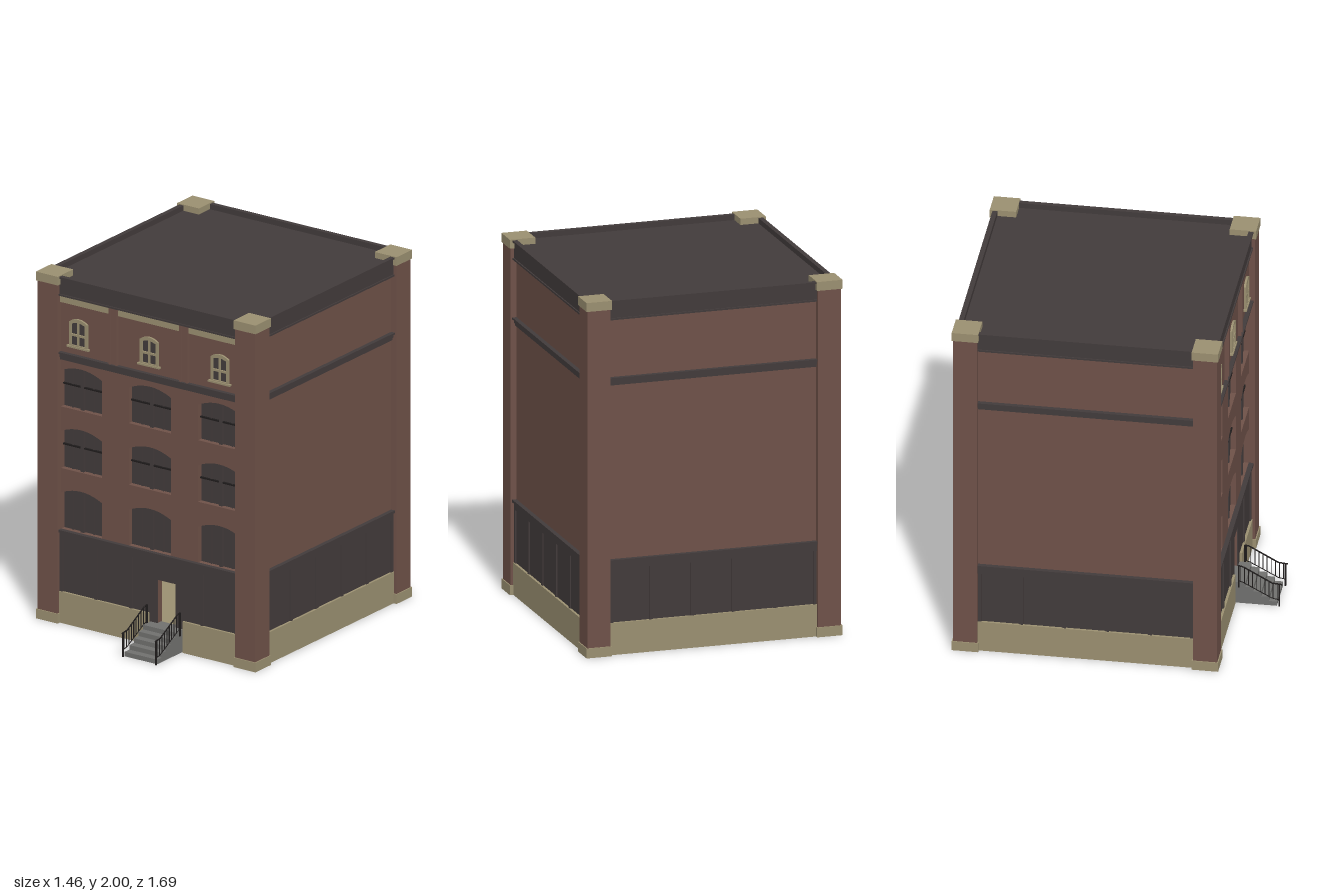
import * as THREE from 'three';

const mat = (name, color, extra = {}) => {
  const m = new THREE.MeshStandardMaterial({ color, ...extra });
  m.name = name;
  return m;
};

export function createModel() {
  const brick = mat('brick', 0x6e5148);
  const dark = mat('dark metal', 0x423b3b);
  const stone = mat('tan stone', 0x9a8f70);
  const black = mat('black iron', 0x1f1c1c);
  const grey = mat('grey concrete', 0x70706e);

  const model = new THREE.Group();
  model.name = 'building';
  const body = new THREE.Group();
  body.name = 'buildingBody';
  body.position.z = -0.12;
  model.add(body);

  const add = (parent, name, geo, material) => {
    const m = new THREE.Mesh(geo, material);
    m.name = name;
    parent.add(m);
    return m;
  };
  // Box given by its lower and upper limits
  const box = (parent, name, material, x0, x1, y0, y1, z0, z1) => {
    const m = add(parent, name, new THREE.BoxGeometry(x1 - x0, y1 - y0, z1 - z0), material);
    m.position.set((x0 + x1) / 2, (y0 + y1) / 2, (z0 + z1) / 2);
    return m;
  };
  const plate = (parent, name, material, shape, z0, z1) => {
    const geo = new THREE.ExtrudeGeometry(shape, { depth: z1 - z0, bevelEnabled: false, curveSegments: 10 });
    const m = add(parent, name, geo, material);
    m.position.z = z0;
    return m;
  };
  const poly = pts => new THREE.Shape(pts.map(p => new THREE.Vector2(...p)));
  const rect = (x0, x1, y0, y1) => poly([[x0, y0], [x1, y0], [x1, y1], [x0, y1]]);
  // Rectangle with a shallow arched head
  const arch = (x0, x1, y0, spring, top) => {
    const s = new THREE.Shape();
    s.moveTo(x0, y0);
    s.lineTo(x1, y0);
    s.lineTo(x1, spring);
    s.quadraticCurveTo((x0 + x1) / 2, 2 * top - spring, x0, spring);
    s.lineTo(x0, y0);
    return s;
  };

  const W = 0.69; // distance from centre to wall face
  const bays = [-0.46, 0, 0.46];
  const rows = [
    { y: 0.535, top: 0.775 },
    { y: 0.885, top: 1.13, bar: 1.02 },
    { y: 1.24, top: 1.48, bar: 1.37 },
  ];
  const bands = [
    [0.48, 0.52, 0.705], [0.52, 0.535, 0.715],
    [1.515, 1.53, 0.70], [1.53, 1.55, 0.705], [1.55, 1.56, 0.715],
    [1.885, 1.895, 0.712], [1.895, 1.985, 0.705], [1.985, 1.995, 0.715],
  ];

  // Four facades, the first one facing forward
  for (let i = 0; i < 4; i++) {
    const side = new THREE.Group();
    side.name = ['frontFacade', 'leftFacade', 'backFacade', 'rightFacade'][i];
    side.rotation.y = i * Math.PI / 2;
    body.add(side);
    const front = i === 0;

    const wall = rect(-0.65, 0.65, 0.01, 1.95);
    if (front) {
      wall.holes.push(rect(0.053, 0.175, 0.125, 0.38));
      for (const r of rows) for (const x of bays)
        wall.holes.push(arch(x - 0.14, x + 0.14, r.y, r.top - 0.035, r.top));
    }
    plate(side, 'wall', brick, wall, 0.65, W);

    for (const [y0, y1, d] of bands) box(side, 'moulding', dark, -0.6, 0.6, y0, y1, W - 0.002, d);

    // Ground floor panels and stone plinth
    if (front) {
      plate(side, 'groundPanel', dark, poly([[-0.6, 0.18], [0, 0.18], [0, 0.125], [0.053, 0.125],
        [0.053, 0.38], [0.175, 0.38], [0.175, 0.125], [0.23, 0.125], [0.23, 0.18], [0.6, 0.18],
        [0.6, 0.48], [-0.6, 0.48]]), W, W + 0.006);
      box(side, 'plinth', stone, -0.6, 0, 0, 0.18, W - 0.002, 0.71);
      box(side, 'plinth', stone, 0.23, 0.6, 0, 0.18, W - 0.002, 0.71);
    } else {
      box(side, 'groundPanel', dark, -0.6, 0.6, 0.18, 0.48, W - 0.002, W + 0.006);
      box(side, 'plinth', stone, -0.6, 0.6, 0, 0.18, W - 0.002, 0.71);
    }
    for (const x of [-0.582, -0.353, -0.118, 0.118, 0.353, 0.582])
      if (!front || x !== 0.118) box(side, 'panelStrip', dark, x - 0.01, x + 0.01, 0.18, 0.48, W, 0.704);

    if (!front) continue;

    // Large arched windows
    for (const r of rows) for (const x of bays) {
      plate(side, 'windowPane', dark, arch(x - 0.14, x + 0.14, r.y, r.top - 0.035, r.top), 0.652, 0.66);
      box(side, 'mullion', dark, x - 0.01, x + 0.01, r.y, r.top - 0.003, 0.66, 0.676);
      for (const s of [-1, 1]) {
        box(side, 'mullion', dark, x + s * 0.07 - 0.004, x + s * 0.07 + 0.004, r.y, r.top - 0.012, 0.66, 0.667);
        if (r.bar) box(side, 'sashBar', black, x + s * 0.075 - 0.065, x + s * 0.075 + 0.065,
          r.bar - 0.004, r.bar + 0.004, 0.66, 0.672);
      }
    }

    // Small top windows with stone frames
    for (const x of [-0.47, 0, 0.47]) {
      const frame = arch(x - 0.06, x + 0.06, 1.605, 1.748, 1.768);
      for (const s of [-1, 1]) {
        const a = x + s * 0.025 - 0.02, b = x + s * 0.025 + 0.02;
        frame.holes.push(rect(a, b, 1.616, 1.668));
        frame.holes.push(poly([[a, 1.68], [b, 1.68], [b, s < 0 ? 1.75 : 1.738], [a, s < 0 ? 1.738 : 1.75]]));
      }
      plate(side, 'smallWindowFrame', stone, frame, W, W + 0.012);
      box(side, 'smallWindowPane', dark, x - 0.05, x + 0.05, 1.61, 1.752, W - 0.002, W + 0.003);
      box(side, 'smallWindowSill', stone, x - 0.073, x + 0.073, 1.6, 1.61, W, W + 0.018);
    }

    // Stone frieze, broken by ribbed brick pilasters
    box(side, 'frieze', stone, -0.6, 0.6, 1.845, 1.885, W - 0.002, W + 0.008);
    for (const x of [-0.235, 0.235]) {
      box(side, 'pilaster', brick, x - 0.027, x + 0.027, 1.56, 1.885, W, 0.702);
      for (const s of [-1, 1])
        box(side, 'pilasterRib', brick, x + s * 0.021 - 0.006, x + s * 0.021 + 0.006, 1.56, 1.885, W, 0.709);
    }
  }

  // Corner piers with stone bases and caps
  for (const sx of [-1, 1]) for (const sz of [-1, 1]) {
    const pier = new THREE.Group();
    pier.name = 'cornerPier';
    pier.position.set(sx * 0.6575, 0, sz * 0.6575);
    body.add(pier);
    const h = 0.0665, c = 0.0725;
    box(pier, 'pierShaft', brick, -h, h, 0.01, 1.98, -h, h);
    box(pier, 'pierBase', stone, -c, c, 0, 0.055, -c, c);
    box(pier, 'pierCap', stone, -c, c, 1.95, 2, -c, c);
  }

  // Roof deck and raised floor
  box(body, 'roof', dark, -W, W, 1.94, 1.965, -W, W);
  box(body, 'floor', stone, -0.655, 0.655, 0.105, 0.125, -0.655, 0.655);

  // Front steps
  const steps = 5, run = 0.043, rise = 0.026, zEnd = 0.935;
  const profile = [[0.66, 0], [zEnd, 0]];
  for (let i = 0; i < steps; i++) {
    profile.push([zEnd - i * run, (i + 1) * rise]);
    profile.push([i === steps - 1 ? 0.66 : zEnd - (i + 1) * run, (i + 1) * rise]);
  }
  const stairs = plate(body, 'stairs', grey, poly(profile), 0, 0.216);
  stairs.rotation.y = -Math.PI / 2;
  stairs.position.set(0.223, 0, 0);

  // Iron railings on both sides of the steps
  const upper = [[0.725, 0.235], [0.75, 0.23], [0.91, 0.142], [0.963, 0.137]];
  const lower = [[0.725, 0.14], [0.75, 0.132], [0.91, 0.047], [0.95, 0.04]];
  const heightAt = (pts, z) => {
    for (let i = 1; i < pts.length; i++) if (z <= pts[i][0]) {
      const [a, b] = [pts[i - 1], pts[i]];
      return a[1] + (b[1] - a[1]) * (z - a[0]) / (b[0] - a[0]);
    }
    return pts[pts.length - 1][1];
  };
  for (const x of [0.005, 0.225]) {
    const rail = new THREE.Group();
    rail.name = 'railing';
    rail.position.x = x;
    body.add(rail);
    for (const [pts, r] of [[upper, 0.004], [lower, 0.0025]])
      for (let i = 1; i < pts.length; i++) {
        const path = new THREE.LineCurve3(new THREE.Vector3(0, pts[i - 1][1], pts[i - 1][0]),
          new THREE.Vector3(0, pts[i][1], pts[i][0]));
        add(rail, 'handrail', new THREE.TubeGeometry(path, 1, r, 6), black);
      }
    for (let i = 0; i < 10; i++) {
      const z = 0.735 + i * 0.0225;
      box(rail, 'baluster', black, -0.002, 0.002, heightAt(lower, z), heightAt(upper, z), z - 0.002, z + 0.002);
    }
    box(rail, 'railPost', black, -0.004, 0.004, 0, 0.138, 0.944, 0.952);
    box(rail, 'railPost', black, -0.004, 0.004, 0.1, 0.235, 0.722, 0.73);
  }

  return model;
}
